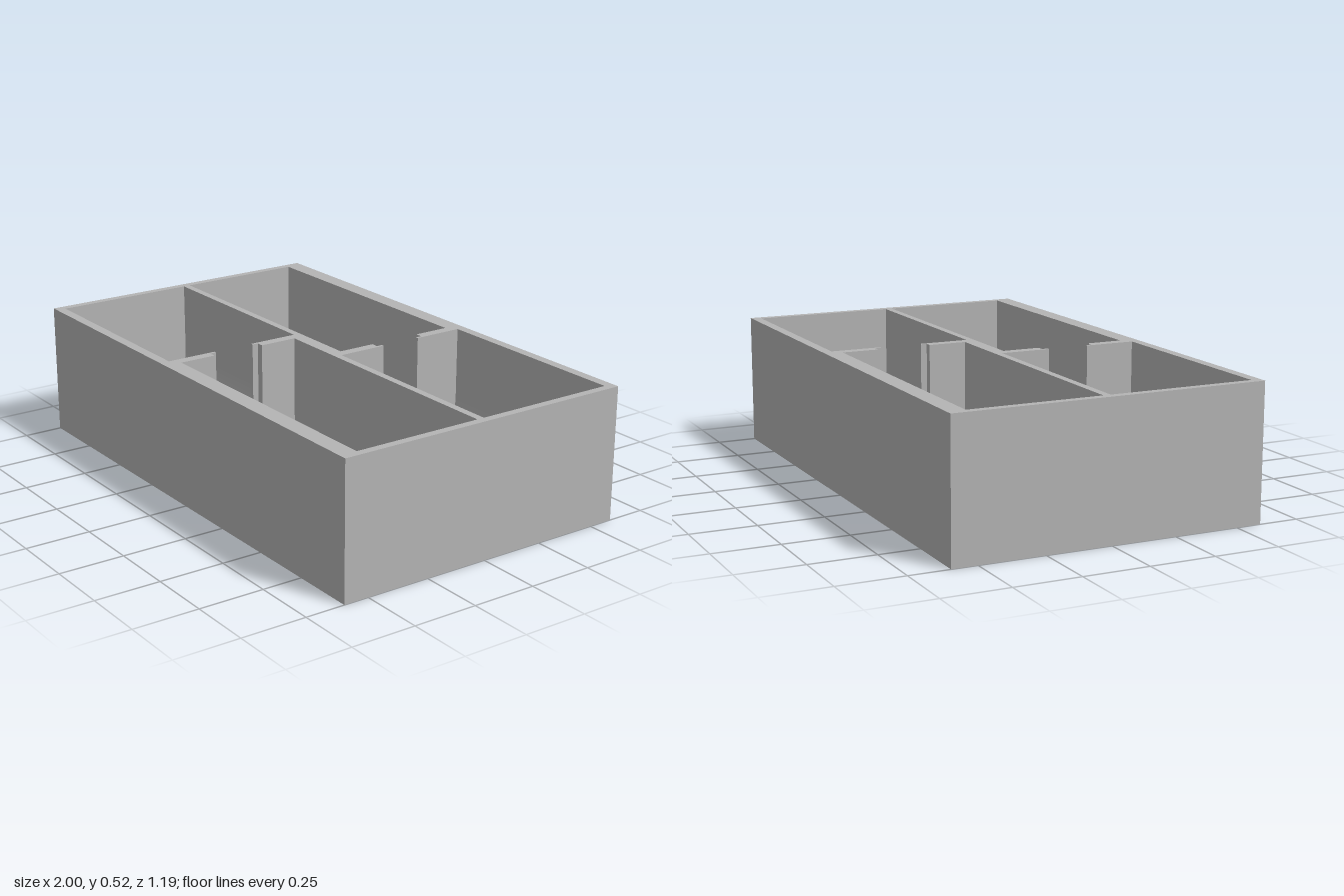
import * as THREE from 'three';
import { toCreasedNormals } from 'three/addons/utils/BufferGeometryUtils.js';

const H = 0.516, D = 0.597;      // tray height, half depth
const CZ = 0.281, CY = 0.237;    // axis of the round cradle
const R = 0.279;                 // cradle radius

const poly = (pts) => new THREE.Shape(pts.map(([z, y]) => new THREE.Vector2(z, y)));

// Points on a circle about the cradle axis
function arc(r, from, to, n = 24) {
  return Array.from({ length: n + 1 }, (_, i) => {
    const a = from + (to - from) * i / n;
    return [CZ + r * Math.cos(a), CY + r * Math.sin(a)];
  });
}

// Cross-sections in (z, y)
const solid = () => [poly([[0, 0], [D, 0], [D, H], [0, H]])];

const uSlot = (r) => [poly([[0, 0], [D, 0], [D, H], [CZ + r, H],
  ...arc(r, 0, -Math.PI, 36), [CZ - r, H], [0, H]])];

const boxPocket = () => [poly([[0, 0], [D, 0], [D, H], [0.53, H],
  [0.53, 0.03], [0.026, 0.03], [0.026, H], [0, H]])];

function cradle() {
  const a = Math.asin(CY / R); // where the cylinder breaks through the base
  return [
    poly([[0, 0], ...arc(R, -Math.PI + a, -Math.PI), [CZ - R, H], [0, H]]),
    poly([[D, 0], [D, H], [CZ + R, H], ...arc(R, 0, -a)]),
  ];
}

export function createModel() {
  const grey = new THREE.MeshStandardMaterial({ color: 0xb4b4b4 });
  grey.name = 'grey plastic';
  const model = new THREE.Group();
  model.name = 'batteryTray';

  // Sections of one half along x
  const sections = [
    ['cradleEndWall', -1, -0.97, solid()],
    ['roundCradle', -0.97, -0.154, cradle()],
    ['narrowSlotWall', -0.154, -0.143, uSlot(0.082)],
    ['wideSlotWall', -0.143, -0.115, uSlot(0.106)],
    ['boxCompartment', -0.115, 0.97, boxPocket()],
    ['boxEndWall', 0.97, 1, solid()],
  ].map(([name, x0, x1, shapes]) => {
    const geo = new THREE.ExtrudeGeometry(shapes, { depth: x1 - x0, bevelEnabled: false });
    geo.rotateY(-Math.PI / 2).translate(x1, 0, 0);
    return [name, toCreasedNormals(geo, 0.5)];
  });

  // The back half is the front half turned around
  for (const side of ['front', 'back']) {
    const half = new THREE.Group();
    half.name = side + 'Half';
    for (const [name, geo] of sections) {
      const mesh = new THREE.Mesh(geo, grey);
      mesh.name = name;
      half.add(mesh);
    }
    if (side === 'back') half.rotation.y = Math.PI;
    model.add(half);
  }
  return model;
}
